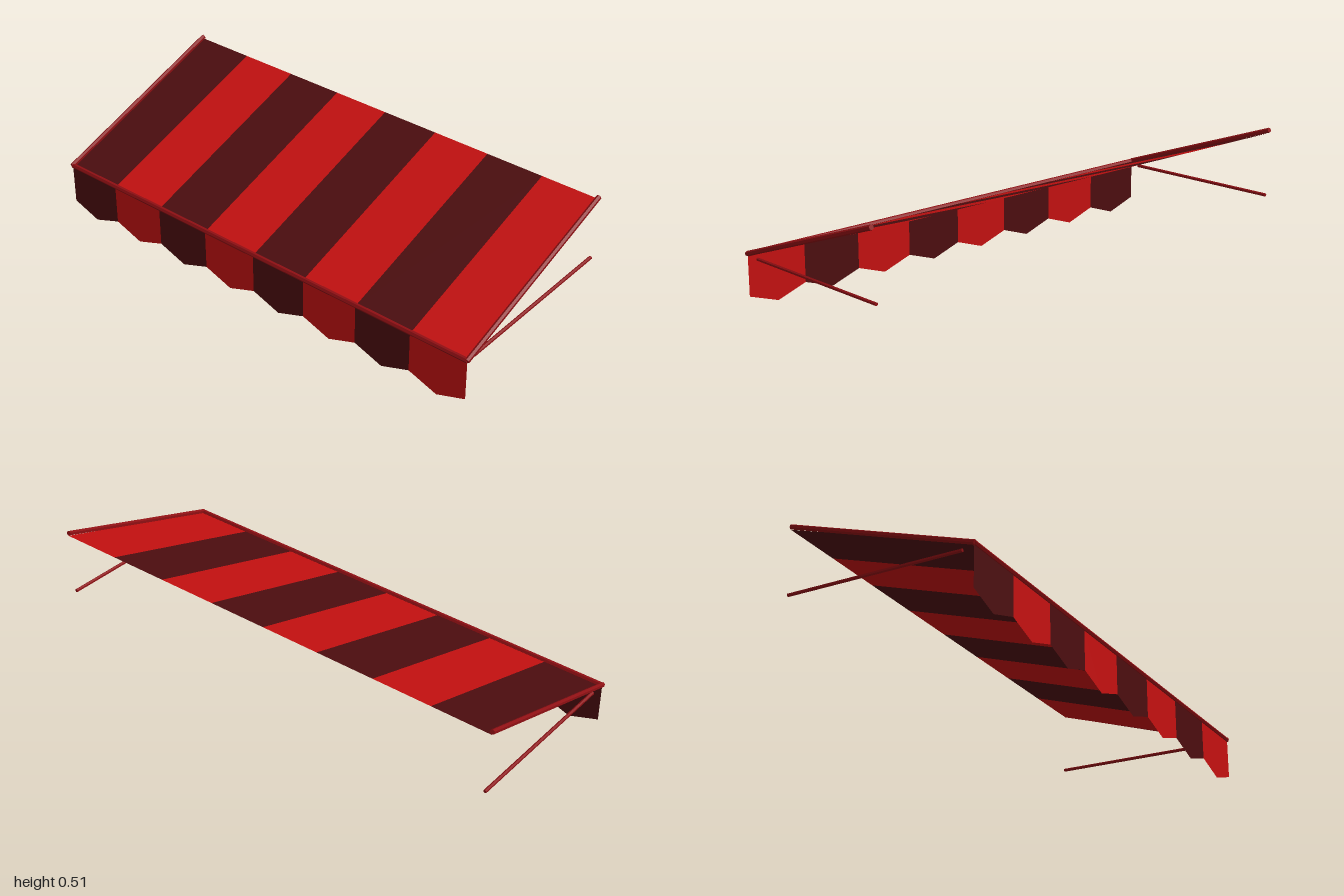
import * as THREE from 'three';

export function createModel() {
  const group = new THREE.Group();
  group.name = 'awning';

  const mat = (name, color, extra = {}) =>
    Object.assign(new THREE.MeshStandardMaterial({ color, ...extra }), { name });
  const red = mat('red canvas', 0xc41010, { side: THREE.DoubleSide });
  const dark = mat('dark maroon canvas', 0x4c0d0f, { side: THREE.DoubleSide });
  const frame = mat('frame red', 0x8e0f13, { flatShading: true });

  const add = (name, geometry, material) => {
    const mesh = new THREE.Mesh(geometry, material);
    mesh.name = name;
    group.add(mesh);
    return mesh;
  };

  // Canopy line in the side plane, and stripe layout
  const halfWidth = 0.99, stripes = 8, w = (2 * halfWidth) / stripes;
  const front = { y: 0.205, z: 0.387 }, back = { y: 0.486, z: -0.394 };
  const rise = back.y - front.y, depth = front.z - back.z;

  for (let i = 0; i < stripes; i++) {
    const x = -halfWidth + (i + 0.5) * w;
    const canvas = i % 2 ? red : dark;

    // Sloping canopy stripe
    const sheet = new THREE.PlaneGeometry(w, Math.hypot(rise, depth));
    sheet.rotateX(-Math.atan2(depth, rise));
    sheet.translate(x, (front.y + back.y) / 2, (front.z + back.z) / 2);
    add('canopyStripe', sheet, canvas);

    // Hanging valance flap with a pointed hem
    const flap = new THREE.Shape([
      new THREE.Vector2(-w / 2, front.y),
      new THREE.Vector2(-w / 2, 0.043),
      new THREE.Vector2(0, 0),
      new THREE.Vector2(w / 2, 0.043),
      new THREE.Vector2(w / 2, front.y),
    ]);
    add('valanceFlap', new THREE.ShapeGeometry(flap).translate(x, 0, front.z), canvas);
  }

  // Six-sided bar between two points
  const bar = (name, a, b, radius) => {
    const dir = b.clone().sub(a);
    const geo = new THREE.CylinderGeometry(radius, radius, dir.length(), 6);
    const mesh = add(name, geo, frame);
    mesh.position.copy(a).add(b).multiplyScalar(0.5);
    mesh.quaternion.setFromUnitVectors(new THREE.Vector3(0, 1, 0), dir.normalize());
  };
  const v = (x, y, z) => new THREE.Vector3(x, y, z);

  // Front bar along the canopy edge
  bar('frontBar', v(-halfWidth, 0.21, 0.386), v(halfWidth, 0.21, 0.386), 0.01);

  // Side rails and lower support arms
  for (const s of [-1, 1]) {
    bar('sideRail', v(s * 0.99, 0.21, 0.39), v(s * 0.99, 0.497, -0.392), 0.01);
    bar('supportArm', v(s * 0.98, 0.2, 0.335), v(s * 0.98, 0.227, -0.394), 0.007);
  }

  return group;
}
